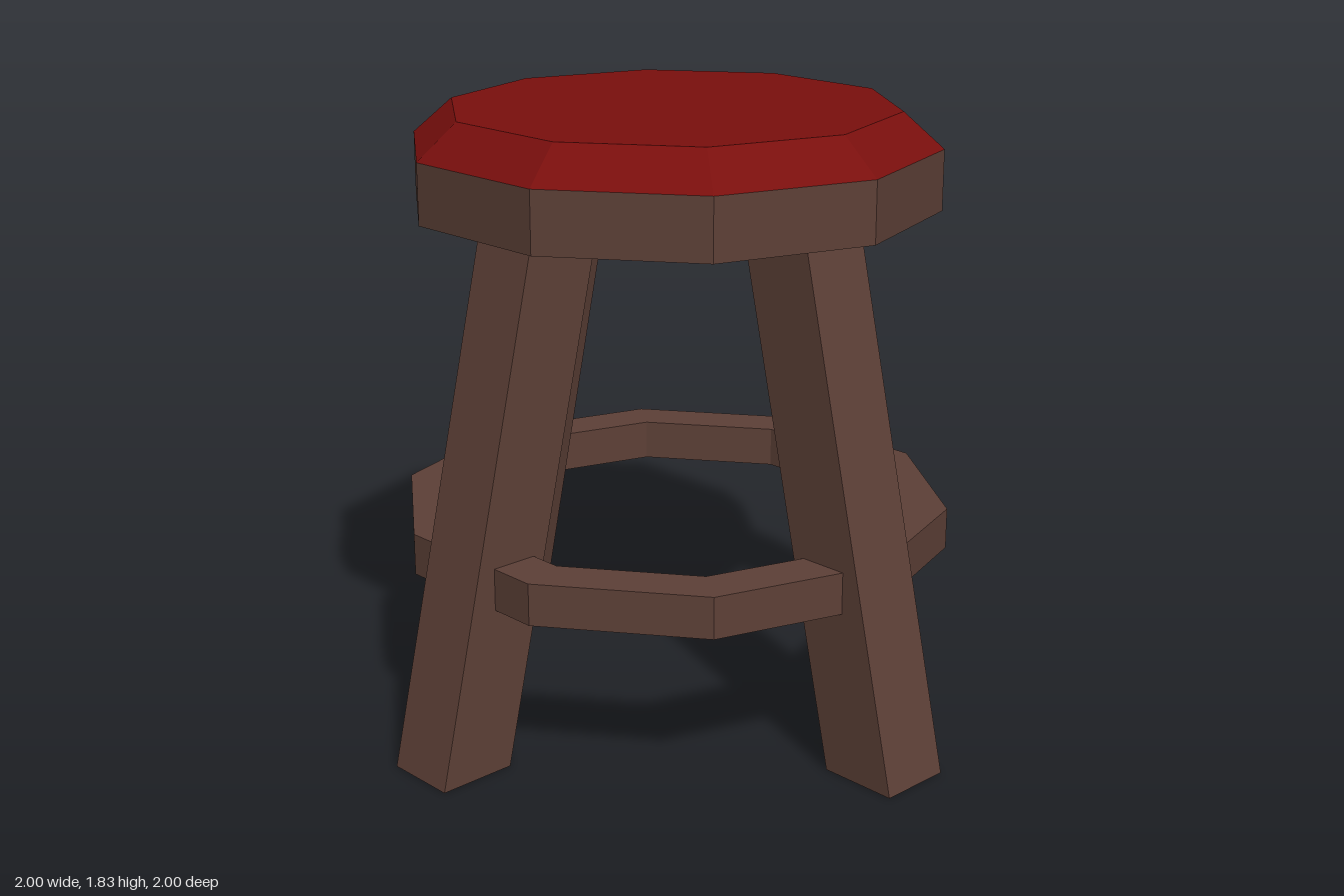
import * as THREE from 'three';

const SIDES = 10;
const wood = new THREE.MeshStandardMaterial({ color: 0x5d4037, flatShading: true });
const red = new THREE.MeshStandardMaterial({ color: 0x7a0f0d, flatShading: true });

function part(name, geometry, material) {
  const mesh = new THREE.Mesh(geometry, material);
  mesh.name = name;
  return mesh;
}

// Slanted post: a box sheared so both ends stay level
function legGeometry() {
  const height = 1.6, lean = 0.234;
  const geo = new THREE.BoxGeometry(0.225, height, 0.24);
  geo.translate(0, height / 2, 0.88);
  const pos = geo.attributes.position;
  for (let i = 0; i < pos.count; i++) {
    pos.setZ(i, pos.getZ(i) - lean * pos.getY(i));
  }
  geo.computeVertexNormals();
  return geo;
}

// Ten-sided brace with a rectangular section
function braceGeometry(inner, outer, bottom, top) {
  const profile = [
    [outer, bottom], [outer, top], [inner, top], [inner, bottom], [outer, bottom],
  ].map(([r, y]) => new THREE.Vector2(r, y));
  return new THREE.LatheGeometry(profile, SIDES);
}

export function createModel() {
  const stool = new THREE.Group();
  stool.name = 'stool';

  // Seat base and bevelled cushion
  const seat = part('seat', new THREE.CylinderGeometry(0.79, 0.79, 0.18, SIDES), wood);
  seat.position.y = 1.63;
  const cushion = part('cushion', new THREE.CylinderGeometry(0.67, 0.79, 0.105, SIDES), red);
  cushion.position.y = 1.7725;
  stool.add(seat, cushion);

  // Footrest running through the legs
  stool.add(part('footrest', braceGeometry(0.69, 0.84, 0.5, 0.625), wood));

  // Four splayed legs
  const leg = legGeometry();
  ['frontLeg', 'leftLeg', 'backLeg', 'rightLeg'].forEach((name, i) => {
    const mesh = part(name, leg, wood);
    mesh.rotation.y = i * Math.PI / 2;
    stool.add(mesh);
  });

  return stool;
}
